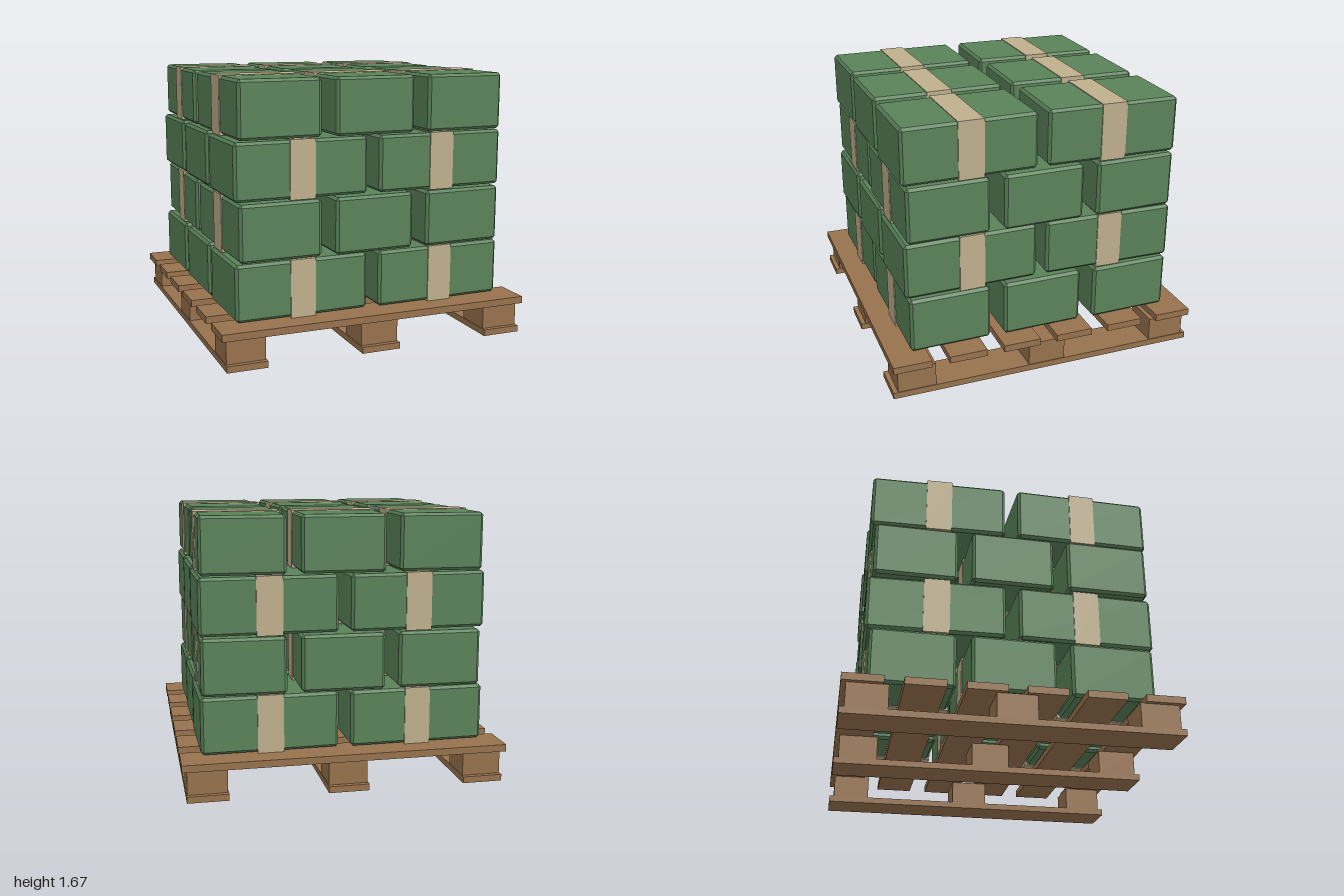
import * as THREE from 'three';
import { ConvexGeometry } from 'three/addons/geometries/ConvexGeometry.js';

const green = new THREE.MeshStandardMaterial({ name: 'green', color: 0x5a8259 });
const tan = new THREE.MeshStandardMaterial({ name: 'tan', color: 0xbfaf8c });
const wood = new THREE.MeshStandardMaterial({ name: 'wood', color: 0x97724d });

// Box with chamfered edges: three corner points per corner
function chamferBox(w, h, d, c) {
  const pts = [];
  for (const sx of [-1, 1]) for (const sy of [-1, 1]) for (const sz of [-1, 1]) {
    for (let k = 0; k < 3; k++) {
      pts.push(new THREE.Vector3(
        sx * (w / 2 - (k === 0 ? 0 : c)),
        sy * (h / 2 - (k === 1 ? 0 : c)),
        sz * (d / 2 - (k === 2 ? 0 : c))));
    }
  }
  return new ConvexGeometry(pts);
}

function addBox(parent, name, w, h, d, x, y, z) {
  const mesh = new THREE.Mesh(new THREE.BoxGeometry(w, h, d), wood);
  mesh.name = name;
  mesh.position.set(x, y, z);
  parent.add(mesh);
}

export function createModel() {
  const model = new THREE.Group();
  model.name = 'loadedPallet';

  // Pallet: runners, blocks and deck boards
  const pallet = new THREE.Group();
  pallet.name = 'pallet';
  for (const x of [-0.85, 0, 0.85]) {
    addBox(pallet, 'bottomRunner', 0.25, 0.04, 2, x, 0.02, 0);
    for (const z of [-0.85, 0, 0.85]) addBox(pallet, 'block', 0.24, 0.15, 0.24, x, 0.115, z);
  }
  for (const z of [-0.88, -0.528, -0.176, 0.176, 0.528, 0.88]) {
    addBox(pallet, 'deckBoard', 2, 0.044, 0.24, 0, 0.21, z);
  }
  model.add(pallet);

  // Crates: four layers, alternating direction, each slightly turned
  const crateGeo = chamferBox(0.842, 0.348, 0.514, 0.017);
  const strapGeo = new THREE.BoxGeometry(0.16, 0.358, 0.526);
  for (let layer = 0; layer < 4; layer++) {
    const turned = layer % 2 === 1;
    for (const along of [-0.458, 0.458]) for (const across of [-0.603, 0, 0.603]) {
      const crate = new THREE.Group();
      crate.name = 'crate';
      const body = new THREE.Mesh(crateGeo, green);
      body.name = 'crateBody';
      const strap = new THREE.Mesh(strapGeo, tan);
      strap.name = 'strap';
      crate.add(body, strap);
      const y = 0.413 + layer * 0.3585;
      if (turned) {
        crate.position.set(across, y, along);
        crate.rotation.y = Math.PI / 2 + Math.sign(along) * 0.02;
      } else {
        crate.position.set(along, y, across);
        crate.rotation.y = 0.014;
      }
      model.add(crate);
    }
  }
  return model;
}
